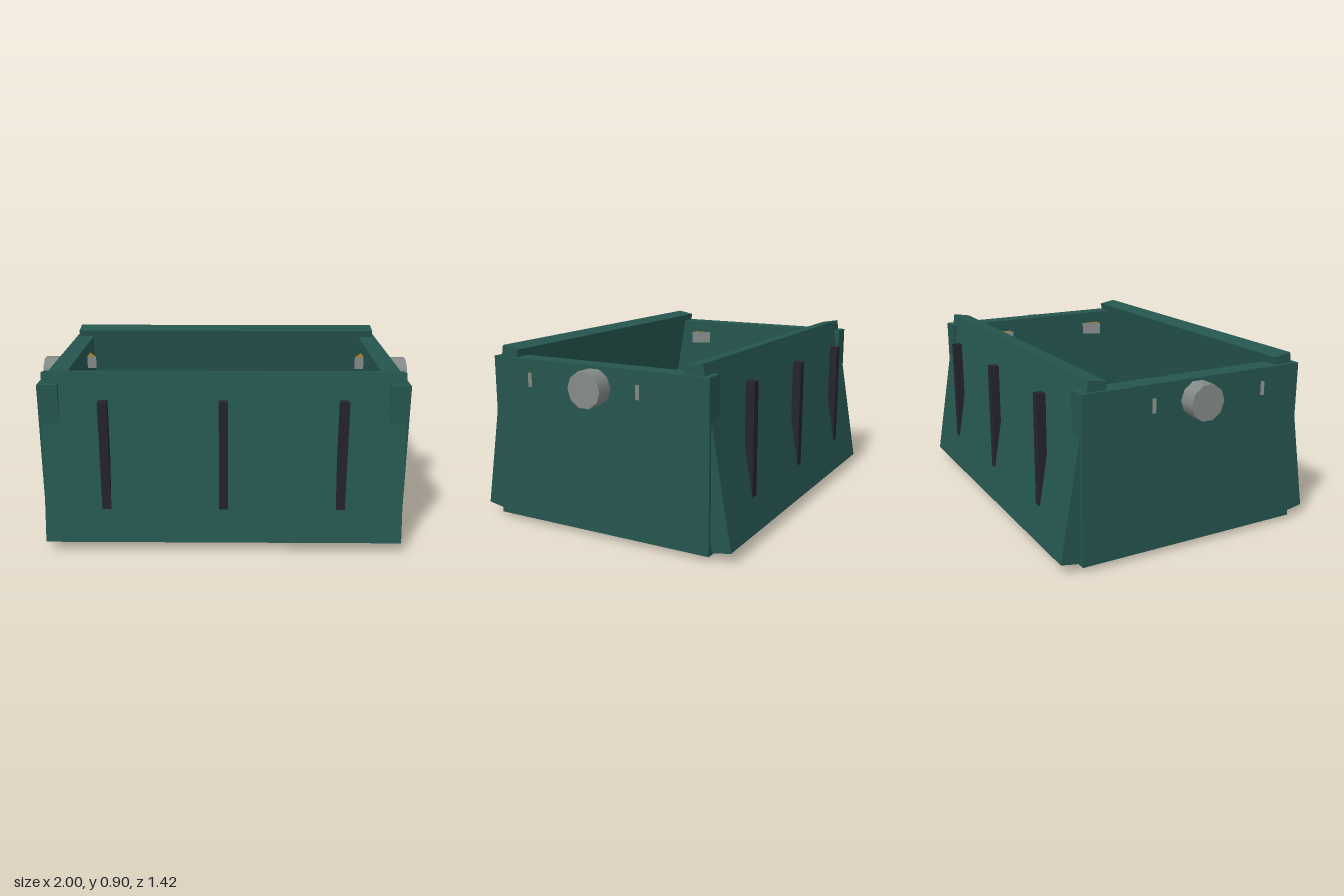
import * as THREE from 'three';

const paint = (name, color) => {
  const m = new THREE.MeshStandardMaterial({ color });
  m.name = name;
  return m;
};

export function createModel() {
  const green = paint('dark green', 0x25564f);
  const dark = paint('charcoal', 0x25242e);
  const grey = paint('steel grey', 0x858b89);
  const ochre = paint('ochre', 0x9a7328);

  const model = new THREE.Group();
  model.name = 'openCrate';

  const add = (parent, name, geometry, material, x, y, z) => {
    const mesh = new THREE.Mesh(geometry, material);
    mesh.name = name;
    mesh.position.set(x, y, z);
    parent.add(mesh);
    return mesh;
  };
  const box = (parent, name, w, h, d, material, x, y, z) =>
    add(parent, name, new THREE.BoxGeometry(w, h, d), material, x, y, z);

  // Floor slab with two runner strips
  box(model, 'floor', 1.59, 0.1, 0.97, dark, 0, 0.05, 0);
  for (const s of [-1, 1]) {
    box(model, 'floorStrip', 0.075, 0.03, 1.0, grey, s * 0.485, 0.105, 0);
  }

  // Long walls lean inward at the top; upright ribs are sunk into them
  for (const [name, turn] of [['frontWall', 0], ['backWall', Math.PI]]) {
    const wall = new THREE.Group();
    wall.name = name;
    wall.rotation.y = turn;
    const panel = box(wall, 'slopedPanel', 1.79, 0.86, 0.096, green, 0, 0.472, 0.588);
    panel.rotation.x = -0.17;
    for (const x of [-0.585, 0, 0.585]) {
      box(wall, 'rib', 0.045, 0.56, 0.044, dark, x, 0.505, 0.657);
    }
    model.add(wall);
  }

  // Triangular pegs pass through the end walls: ochre caps, grey sides
  const triangle = new THREE.Shape([
    new THREE.Vector2(-0.08, 0),
    new THREE.Vector2(0.08, 0),
    new THREE.Vector2(0, 0.16),
  ]);
  const pegGeometry = new THREE.ExtrudeGeometry(triangle, { depth: 0.07, bevelEnabled: false });
  pegGeometry.rotateX(-Math.PI / 2);

  // Upright end walls with pivot studs and pegs
  const studGeometry = new THREE.CylinderGeometry(0.09, 0.09, 0.12, 10);
  studGeometry.rotateY(Math.PI / 2).rotateZ(Math.PI / 2);
  studGeometry.rotateX(Math.PI / 2);
  for (const s of [-1, 1]) {
    const end = new THREE.Group();
    end.name = s > 0 ? 'leftEnd' : 'rightEnd';
    box(end, 'endWall', 0.1, 0.825, 1.21, green, s * 0.862, 0.4375, 0);
    add(end, 'pivotStud', studGeometry, grey, s * 0.94, 0.75, 0);
    for (const z of [-0.23, 0.39]) {
      add(end, 'peg', pegGeometry, [ochre, grey], s * 0.84, 0.713, z);
    }
    model.add(end);
  }
  return model;
}
